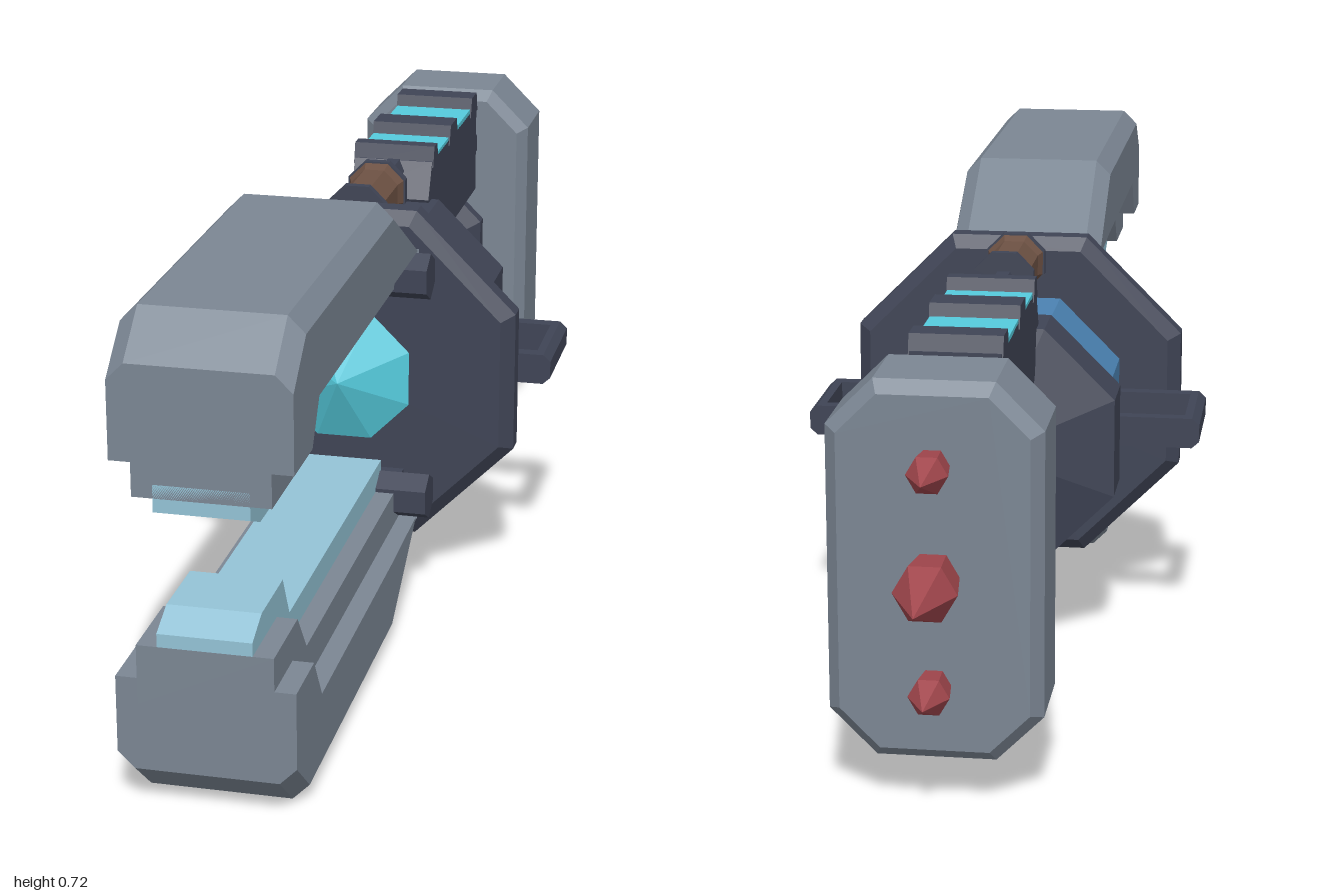
import * as THREE from 'three';

const AXIS = 0.36; // height of the long axis

const paint = (name, color) => {
  const m = new THREE.MeshStandardMaterial({ color });
  m.name = name;
  return m;
};

// Faceted mesh: every face keeps its own normal
function part(parent, name, geometry, material, x = 0, y = 0, z = 0) {
  const g = geometry.index ? geometry.toNonIndexed() : geometry;
  g.computeVertexNormals();
  const mesh = new THREE.Mesh(g, material);
  mesh.name = name;
  mesh.position.set(x, y, z);
  parent.add(mesh);
  return mesh;
}

// Side outline of [z, y] points, extruded to a half width in x
function slab(points, half) {
  const shape = new THREE.Shape(points.map(([z, y]) => new THREE.Vector2(z, y)));
  const g = new THREE.ExtrudeGeometry(shape, { depth: half * 2, bevelEnabled: false });
  return g.translate(0, 0, -half).rotateY(-Math.PI / 2);
}

// Faceted solid along z from [radius, z] points, z rising; radius is to the flats
function turned(points, sides = 8) {
  const k = 1 / Math.cos(Math.PI / sides);
  const profile = points.map(([r, z]) => new THREE.Vector2(r * k, z));
  return new THREE.LatheGeometry(profile, sides, Math.PI / sides).rotateX(Math.PI / 2);
}

// Prong shell: chamfered cross-sections [z, bottom, top] from back to front
function shell(sections, w, c) {
  const rings = sections.map(([z, b, t]) => [
    [-w, b, z], [w, b, z], [w, t - c, z], [w - c, t, z], [c - w, t, z], [-w, t - c, z],
  ]);
  const pos = [];
  const tri = (...p) => p.forEach((v) => pos.push(...v));
  for (let i = 0; i < rings.length - 1; i++) {
    const A = rings[i], B = rings[i + 1];
    for (let j = 0; j < 6; j++) {
      const k = (j + 1) % 6;
      tri(A[j], A[k], B[k]);
      tri(A[j], B[k], B[j]);
    }
  }
  const first = rings[0], last = rings[rings.length - 1];
  for (let j = 1; j < 5; j++) {
    tri(last[0], last[j], last[j + 1]);
    tri(first[0], first[j + 1], first[j]);
  }
  const g = new THREE.BufferGeometry();
  g.setAttribute('position', new THREE.Float32BufferAttribute(pos, 3));
  return g;
}

export function createModel() {
  const grey = paint('grey armour', 0x7b8693);
  const dark = paint('dark metal', 0x3f4455);
  const blue = paint('blue core', 0x4b82b2);
  const pale = paint('pale blue pad', 0x94c3d6);
  const cyan = paint('cyan glow', 0x55cbdd);
  const brown = paint('brown coil', 0x6e5244);
  const red = paint('red spike', 0xa0464c);

  const model = new THREE.Group();
  model.name = 'pronged blaster';

  // Upper and lower halves share prong, hinge and coil
  for (const [name, turn] of [['upper', 0], ['lower', Math.PI]]) {
    const half = new THREE.Group();
    half.name = name + 'Prong';
    half.position.y = AXIS;
    half.rotation.z = turn;
    model.add(half);

    part(half, 'prongShell', shell([
      [0.2, 0.23, 0.245], [0.21, 0.23, 0.25], [0.39, 0.23, 0.36], [0.855, 0.23, 0.36],
      [0.9, 0.16, 0.36], [0.93, 0.16, 0.36], [1, 0.16, 0.3],
    ], 0.129, 0.025), grey);
    part(half, 'prongLiner', slab([
      [0.2, 0.24], [0.2, 0.175], [0.82, 0.175], [0.87, 0.11], [1, 0.11], [1, 0.2], [0.88, 0.24],
    ], 0.098), grey);
    part(half, 'prongPad', slab([
      [0.2, 0.2], [0.2, 0.135], [0.8, 0.135], [0.835, 0.068], [0.95, 0.068],
      [1, 0.09], [1, 0.13], [0.86, 0.2],
    ], 0.068), pale);

    part(half, 'hinge', new THREE.CylinderGeometry(0.038, 0.038, 0.3, 6)
      .rotateZ(Math.PI / 2).rotateX(Math.PI / 2), dark, 0, 0.188, 0.208);
    part(half, 'hingeMount', new THREE.BoxGeometry(0.2, 0.06, 0.06), dark, 0, 0.188, 0.19);

    part(half, 'coil', turned([
      [0, -0.07], [0.047, -0.07], [0.04, -0.05], [0.04, 0.05], [0.047, 0.07], [0, 0.07],
    ]), brown, 0, 0.243, 0);
    for (const z of [-0.075, 0.075]) {
      part(half, 'coilCap', turned([[0, -0.007], [0.049, -0.007], [0.049, 0.007], [0, 0.007]]),
        dark, 0, 0.243, z);
    }
  }

  // Central body
  part(model, 'frontDisc', turned([
    [0, 0.1], [0.257, 0.1], [0.278, 0.12], [0.278, 0.152], [0.257, 0.173], [0, 0.173],
  ]), dark, 0, AXIS, 0);
  part(model, 'frontGem', turned([[0.108, 0.174], [0, 0.222]]), cyan, 0, AXIS, 0);
  part(model, 'core', turned([[0, -0.11], [0.175, -0.11], [0.175, 0.11], [0, 0.11]]),
    blue, 0, AXIS, 0);
  part(model, 'rearCup', turned([[0, -0.248], [0.195, -0.197], [0.195, -0.1], [0, -0.1]]),
    dark, 0, AXIS, 0);

  // Side handles: outer bar joined by two arms
  for (const s of [-1, 1]) {
    const handle = new THREE.Group();
    handle.name = s > 0 ? 'leftHandle' : 'rightHandle';
    handle.position.y = AXIS;
    handle.rotation.z = s > 0 ? 0 : Math.PI;
    model.add(handle);
    const bar = new THREE.Shape([
      [0.3, -0.025], [0.313, -0.025], [0.325, -0.014], [0.325, 0.014], [0.313, 0.025], [0.3, 0.025],
    ].map((p) => new THREE.Vector2(...p)));
    part(handle, 'handleBar',
      new THREE.ExtrudeGeometry(bar, { depth: 0.175, bevelEnabled: false }), dark, 0, 0, -0.093);
    for (const z of [-0.082, 0.071]) {
      part(handle, 'handleArm', new THREE.BoxGeometry(0.15, 0.05, 0.022), dark, 0.232, 0, z);
    }
  }

  // Rods above and below the core
  const rod = (name, y, z0, z1, r) => part(model, name,
    turned([[0, z0], [r, z0], [r, z1], [0, z1]], 6), dark, 0, y, 0);
  rod('upperRod', 0.603, -0.22, 0.11, 0.018);
  rod('lowerRod', 0.12, -0.67, 0.11, 0.02);

  // Top receiver with raised ribs and glowing strips between them
  part(model, 'receiver', slab([
    [-0.17, 0.56], [-0.2, 0.62], [-0.61, 0.62], [-0.61, 0.457], [-0.24, 0.457], [-0.2, 0.5],
  ], 0.068), dark);
  for (const [z0, z1] of [[-0.2, -0.245], [-0.345, -0.42], [-0.545, -0.61]]) {
    part(model, 'receiverRib', slab([
      [z0, 0.61], [z0 - 0.01, 0.645], [z1 + 0.01, 0.645], [z1, 0.61],
    ], 0.07), dark);
  }
  for (const [z0, z1] of [[-0.245, -0.345], [-0.42, -0.545]]) {
    part(model, 'glowStrip', new THREE.BoxGeometry(0.136, 0.008, z0 - z1),
      cyan, 0, 0.622, (z0 + z1) / 2);
  }
  for (const x of [-0.042, 0.042]) {
    part(model, 'pommelLink', new THREE.BoxGeometry(0.04, 0.03, 0.08), dark, x, 0.535, -0.635);
  }

  // Trigger and slanted grip
  part(model, 'trigger', slab([
    [-0.295, 0.47], [-0.345, 0.47], [-0.338, 0.385], [-0.318, 0.365], [-0.325, 0.41], [-0.298, 0.44],
  ], 0.02), dark);
  part(model, 'grip', slab([
    [-0.415, 0.47], [-0.475, 0.47], [-0.625, 0.1], [-0.585, 0.05],
    [-0.515, 0.055], [-0.512, 0.08], [-0.54, 0.105],
  ], 0.045), dark);

  // Pommel block with bevelled edges
  const [px, py, cut] = [0.137, 0.262, 0.058];
  const outline = new THREE.Shape([
    [px, py - cut], [px - cut, py], [cut - px, py], [-px, py - cut],
    [-px, cut - py], [cut - px, -py], [px - cut, -py], [px, cut - py],
  ].map((p) => new THREE.Vector2(...p)));
  part(model, 'pommel', new THREE.ExtrudeGeometry(outline, {
    depth: 0.13, bevelThickness: 0.02, bevelSize: 0.018, bevelSegments: 1,
  }), grey, 0, 0.352, -0.805);

  // Socket and lens facing the grip
  part(model, 'pommelSocket', turned([
    [0, -0.67], [0.075, -0.67], [0.075, -0.63], [0.045, -0.6], [0, -0.6],
  ]), dark, 0, 0.355, 0);
  part(model, 'pommelLens', turned([[0.045, -0.599], [0, -0.565]]), blue, 0, 0.355, 0);

  // Rear spikes
  for (const [y, r, mid, tip] of [[0.352, 0.04, -0.9, -1], [0.515, 0.026, -0.875, -0.93], [0.19, 0.026, -0.875, -0.93]]) {
    part(model, 'rearSpike', turned([[0, tip], [r, mid], [r * 0.8, -0.82]], 6), red, 0, y, 0);
  }

  return model;
}
